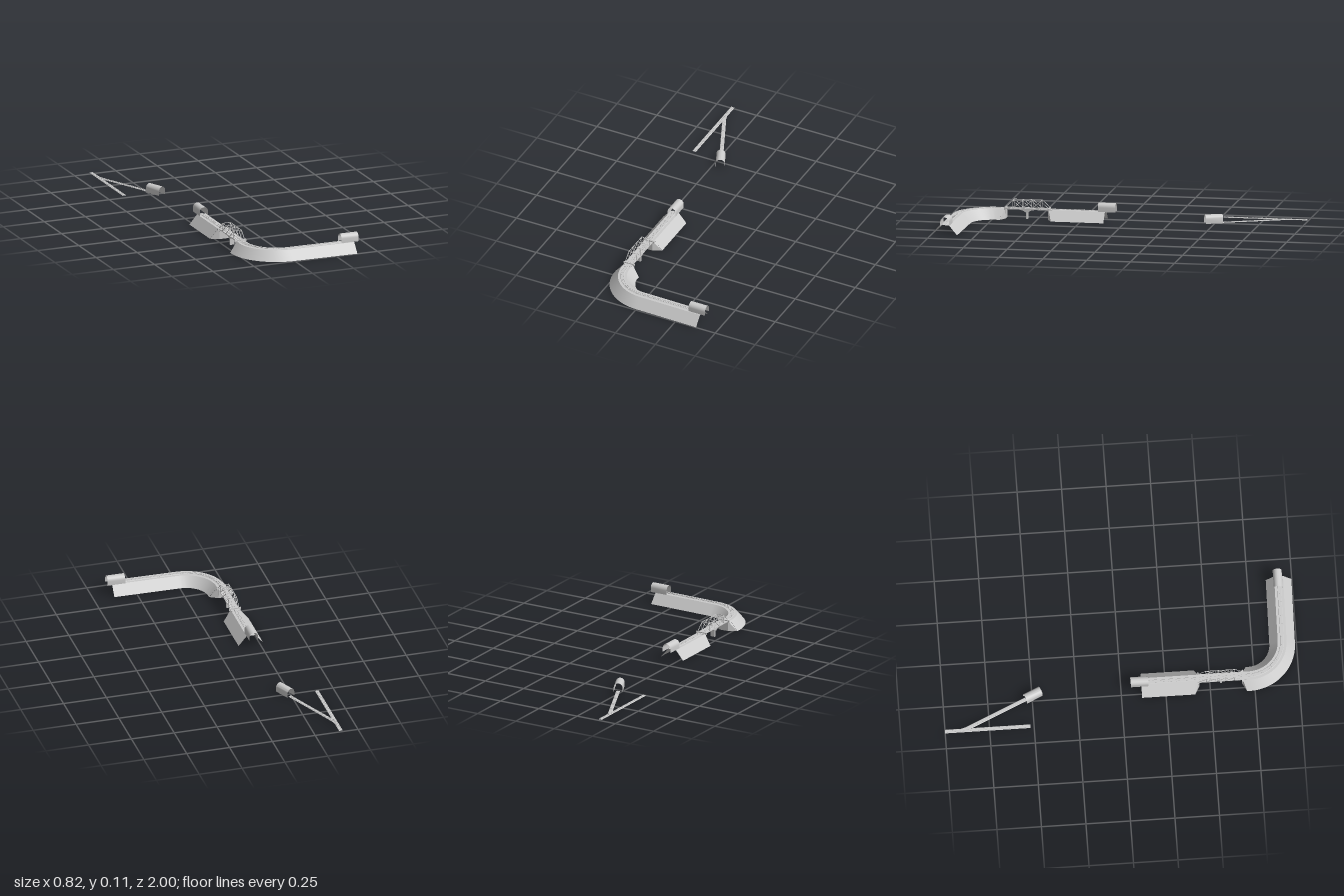
import * as THREE from 'three';
import { toCreasedNormals, mergeGeometries } from 'three/addons/utils/BufferGeometryUtils.js';

const solid = new THREE.MeshStandardMaterial({ color: 0xcccccc });
const thin = new THREE.MeshStandardMaterial({ color: 0xcccccc, side: THREE.DoubleSide });
const TOP = 0.055, LOW = 0.007; // track bed levels

const v = (x, y, z) => new THREE.Vector3(x, y, z);

function add(parent, name, geometry, material = solid) {
  const mesh = new THREE.Mesh(geometry, material);
  mesh.name = name;
  parent.add(mesh);
  return mesh;
}

// Sideways direction at point i of a ground path
function sideAt(path, i) {
  const a = path[Math.max(i - 1, 0)], b = path[Math.min(i + 1, path.length - 1)];
  const t = b.clone().sub(a).normalize();
  return v(t.z, 0, -t.x);
}

// Sweep a profile of [sideways, height] points along a ground path
function sweep(path, profile) {
  const pos = [], index = [], n = profile.length;
  path.forEach((p, i) => {
    const s = sideAt(path, i);
    for (const [u, y] of profile) pos.push(p.x + s.x * u, p.y + y, p.z + s.z * u);
  });
  for (let i = 0; i < path.length - 1; i++) {
    for (let j = 0; j < n - 1; j++) {
      const a = i * n + j, b = a + n;
      index.push(a, a + 1, b, b, a + 1, b + 1);
    }
  }
  const g = new THREE.BufferGeometry();
  g.setAttribute('position', new THREE.Float32BufferAttribute(pos, 3));
  g.setIndex(index);
  return toCreasedNormals(g, 0.45);
}

function box(w, h, d, x, y, z) {
  return new THREE.BoxGeometry(w, h, d).translate(x, y, z);
}

// Square bar between two points
function bar(a, b, size = 0.0025) {
  const d = b.clone().sub(a);
  const g = new THREE.BoxGeometry(size, size, d.length());
  const m = new THREE.Matrix4().lookAt(b, a, Math.abs(d.y) > 0.99 * d.length() ? v(1, 0, 0) : v(0, 1, 0));
  return g.applyMatrix4(m).translate((a.x + b.x) / 2, (a.y + b.y) / 2, (a.z + b.z) / 2);
}

// Ballast strip, two rails and sleepers
function track(parent, name, path) {
  const group = new THREE.Group();
  group.name = name;
  parent.add(group);
  add(group, 'ballast', sweep(path, [[-0.011, 0], [-0.009, 0.002], [0.009, 0.002], [0.011, 0], [-0.011, 0]]), thin);
  for (const u of [-0.005, 0.005]) {
    add(group, 'rail', sweep(path, [[u - 0.0006, 0.002], [u - 0.0006, 0.0035], [u + 0.0006, 0.0035], [u + 0.0006, 0.002]]), thin);
  }
  const curve = new THREE.CurvePath();
  for (let i = 1; i < path.length; i++) curve.add(new THREE.LineCurve3(path[i - 1], path[i]));
  const count = Math.round(curve.getLength() / 0.016), sleepers = [];
  for (let i = 0; i < count; i++) {
    const t = (i + 0.5) / count, p = curve.getPointAt(t), d = curve.getTangentAt(t);
    sleepers.push(box(0.015, 0.001, 0.004, 0, 0.0023, 0).rotateY(Math.atan2(d.x, d.z)).translate(p.x, p.y, p.z));
  }
  add(group, 'sleepers', mergeGeometries(sleepers));
}

// Open arched tunnel shell
function tunnel(parent, from, to) {
  const profile = [[-0.025, 0]];
  for (let i = 0; i <= 12; i++) {
    const a = Math.PI * (1 - i / 12);
    profile.push([0.025 * Math.cos(a), 0.024 + 0.025 * Math.sin(a)]);
  }
  profile.push([0.025, 0]);
  add(parent, 'tunnel', sweep([from, to], profile), thin);
}

// Abutment with wing slopes; dir points from the bank to the bridge
function abutment(parent, z, dir) {
  const g = new THREE.Group();
  g.name = 'abutment';
  parent.add(g);
  add(g, 'abutmentWall', box(0.05, TOP, 0.022, -0.2, TOP / 2, z + dir * 0.014));
  add(g, 'bearingBlock', box(0.068, 0.012, 0.008, -0.2, 0.057, z + dir * 0.021));
  const wings = [];
  for (const s of [-1, 1]) {
    wings.push(-0.2 + s * 0.07, 0, z, -0.2 + s * 0.025, TOP, z, -0.2 + s * 0.025, TOP, z + dir * 0.02);
    wings.push(-0.2 + s * 0.07, 0, z, -0.2 + s * 0.025, TOP, z + dir * 0.02, -0.2 + s * 0.025, 0, z + dir * 0.025);
  }
  const wing = new THREE.BufferGeometry();
  wing.setAttribute('position', new THREE.Float32BufferAttribute(wings, 3));
  wing.computeVertexNormals();
  add(g, 'wingSlopes', wing, thin);
}

// Truss bridge with a central pier
function bridge(parent) {
  const g = new THREE.Group();
  g.name = 'bridge';
  parent.add(g);
  const low = 0.058, high = 0.104, z0 = 0.43, z1 = 0.69;
  const posts = [0.48, 0.533, 0.587, 0.64];
  add(g, 'deck', box(0.048, 0.004, z1 - z0 + 0.03, -0.2, 0.055, 0.56));
  const bars = [];
  for (const x of [-0.224, -0.176]) {
    const P = (y, z) => v(x, y, z);
    bars.push(bar(P(low, z0), P(low, z1)), bar(P(high, 0.48), P(high, 0.64)));
    bars.push(bar(P(low, z0), P(high, 0.48)), bar(P(low, z1), P(high, 0.64)));
    posts.forEach((z, i) => {
      bars.push(bar(P(low, z), P(high, z)));
      if (i < 3) bars.push(bar(P(low, z), P(high, posts[i + 1])), bar(P(high, z), P(low, posts[i + 1])));
    });
  }
  for (const z of posts) bars.push(bar(v(-0.224, high, z), v(-0.176, high, z)));
  add(g, 'truss', mergeGeometries(bars));

  // Pier and its curved bracket
  const s = new THREE.Shape();
  s.moveTo(-0.06, 0);
  s.quadraticCurveTo(-0.02, -0.003, -0.007, -0.016);
  s.lineTo(0.007, -0.016);
  s.quadraticCurveTo(0.02, -0.003, 0.06, 0);
  const bracket = new THREE.ExtrudeGeometry(s, { depth: 0.036, bevelEnabled: false, curveSegments: 6 });
  bracket.translate(0, 0, -0.018).rotateY(Math.PI / 2).translate(-0.2, 0.0535, 0.562);
  add(g, 'pierBracket', bracket);
  add(g, 'pier', box(0.026, 0.04, 0.01, -0.2, 0.02, 0.562));
}

export function createModel() {
  const model = new THREE.Group();
  model.name = 'railwayLayout';

  // Main line: straight, bridge, quarter bend, straight
  const bend = [];
  for (let i = 0; i <= 20; i++) {
    const a = (i / 20) * Math.PI / 2;
    bend.push(v(-0.2 * Math.cos(a), 0, 0.72 + 0.2 * Math.sin(a)));
  }
  const frontPath = [v(-0.2, 0, 0.705), ...bend, v(0.38, 0, 0.926)];
  const backPath = [v(-0.2, 0, 0.115), v(-0.2, 0, 0.415)];
  const bank = [[-0.072, 0], [-0.025, TOP], [0.025, TOP], [0.072, 0]];
  add(model, 'frontEmbankment', sweep(frontPath, bank), thin);
  add(model, 'backEmbankment', sweep(backPath, bank), thin);
  abutment(model, 0.415, 1);
  abutment(model, 0.705, -1);
  bridge(model);
  track(model, 'mainTrack', [backPath[0], ...frontPath].map((p) => v(p.x, TOP + 0.001, p.z)));
  tunnel(model, v(-0.2, TOP, 0.055), v(-0.2, TOP, 0.155));
  tunnel(model, v(0.305, TOP, 0.92), v(0.408, TOP, 0.92));

  // Ground level siding with a branch into a tunnel
  track(model, 'sidingTrack', [v(-0.4, LOW, -1), v(-0.4, LOW, -0.52)]);
  track(model, 'branchTrack', [v(-0.4, LOW, -0.91), v(-0.392, LOW, -0.88), v(-0.238, LOW, -0.535)]);
  tunnel(model, v(-0.242, LOW, -0.541), v(-0.201, LOW, -0.45));
  return model;
}
